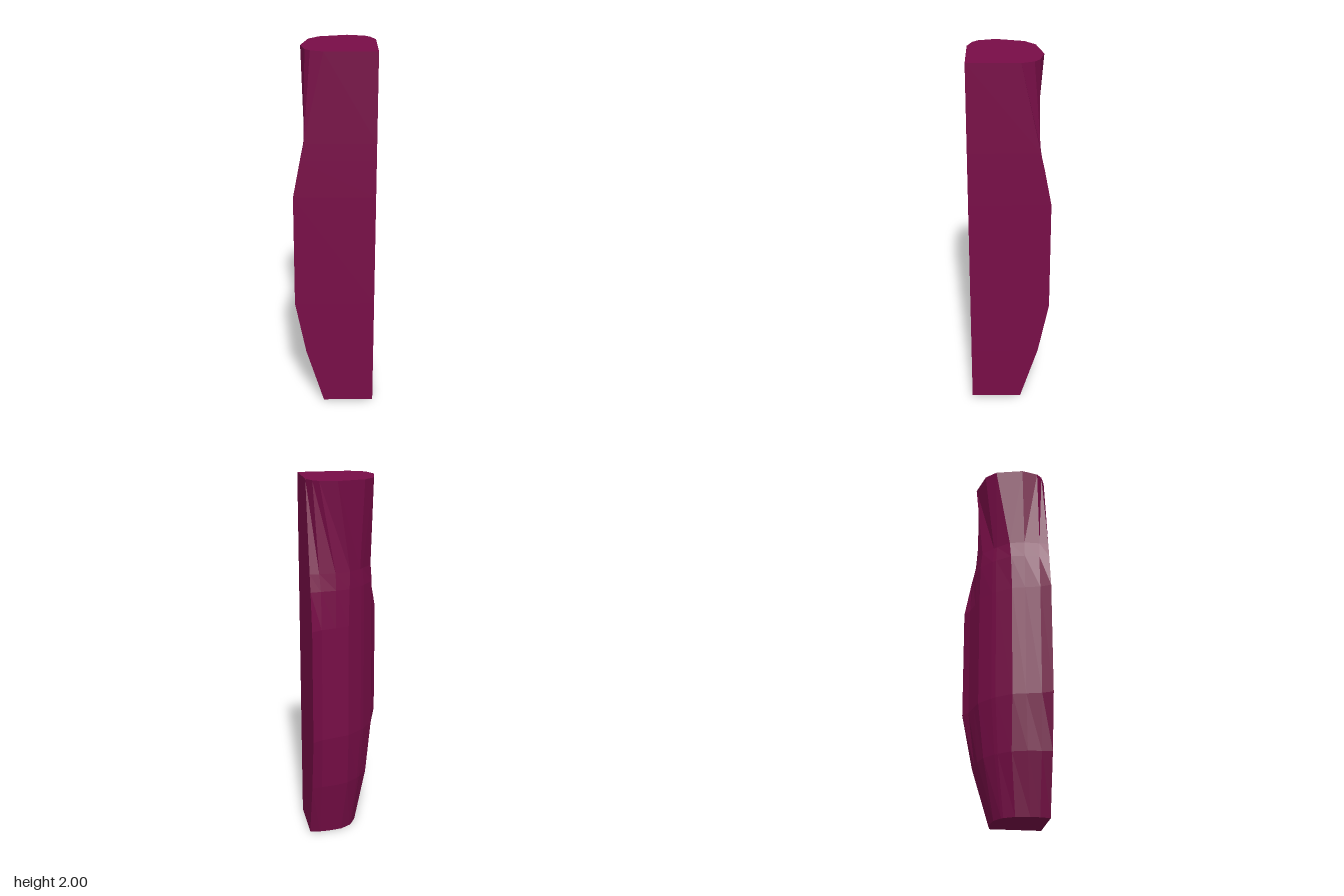
import * as THREE from 'three';

// Half outlines [x, z] from the front edge round to the back; the other half mirrors across the diagonal.
const SECTIONS = [
  { y: 0.0, half: [[-0.06, 0.215], [-0.072, 0.16], [-0.072, 0.11], [-0.062, 0.035], [-0.03, -0.02]] },
  { y: 0.32, half: [[-0.157, 0.215], [-0.15, 0.16], [-0.142, 0.09], [-0.12, 0.01], [-0.07, -0.055]] },
  { y: 0.62, half: [[-0.215, 0.215], [-0.187, 0.16], [-0.167, 0.08], [-0.15, 0.01], [-0.09, -0.07]] },
  { y: 1.24, half: [[-0.215, 0.215], [-0.187, 0.16], [-0.167, 0.08], [-0.15, 0.01], [-0.09, -0.07]] },
  { y: 1.44, half: [[-0.177, 0.215], [-0.171, 0.16], [-0.163, 0.08], [-0.147, 0.005], [-0.087, -0.07]] },
  { y: 1.53, half: [[-0.157, 0.215], [-0.157, 0.165], [-0.156, 0.08], [-0.138, 0], [-0.08, -0.065]] },
  { y: 2.0, half: [[-0.055, 0.215], [-0.12, 0.19], [-0.147, 0.16], [-0.17, 0.07], [-0.133, -0.077]] },
];
const CORNER = [0.215, 0.215];

function loft(sections) {
  const rings = sections.map(({ y, half }) => {
    const mirrored = half.map(([x, z]) => [z, x]).reverse();
    return [CORNER, ...half, ...mirrored].map(([x, z]) => [x, y, z]);
  });
  const n = rings[0].length;
  const pos = [];
  const tri = (a, b, c) => pos.push(...a, ...b, ...c);

  // Side walls
  for (let k = 0; k < rings.length - 1; k++) {
    const lo = rings[k], hi = rings[k + 1];
    for (let i = 0; i < n; i++) {
      const j = (i + 1) % n;
      tri(lo[i], hi[i], hi[j]);
      tri(lo[i], hi[j], lo[j]);
    }
  }
  // End caps, fanned from the square corner
  const bottom = rings[0], top = rings[rings.length - 1];
  for (let i = 1; i < n - 1; i++) {
    tri(bottom[0], bottom[i], bottom[i + 1]);
    tri(top[0], top[i + 1], top[i]);
  }
  const geometry = new THREE.BufferGeometry();
  geometry.setAttribute('position', new THREE.Float32BufferAttribute(pos, 3));
  geometry.computeVertexNormals();
  return geometry;
}

export function createModel() {
  const group = new THREE.Group();
  group.name = 'facetedPillar';

  const plum = new THREE.MeshStandardMaterial({ color: 0x780d47, flatShading: true });
  plum.name = 'plum';

  const body = new THREE.Mesh(loft(SECTIONS), plum);
  body.name = 'pillarBody';
  group.add(body);
  return group;
}
